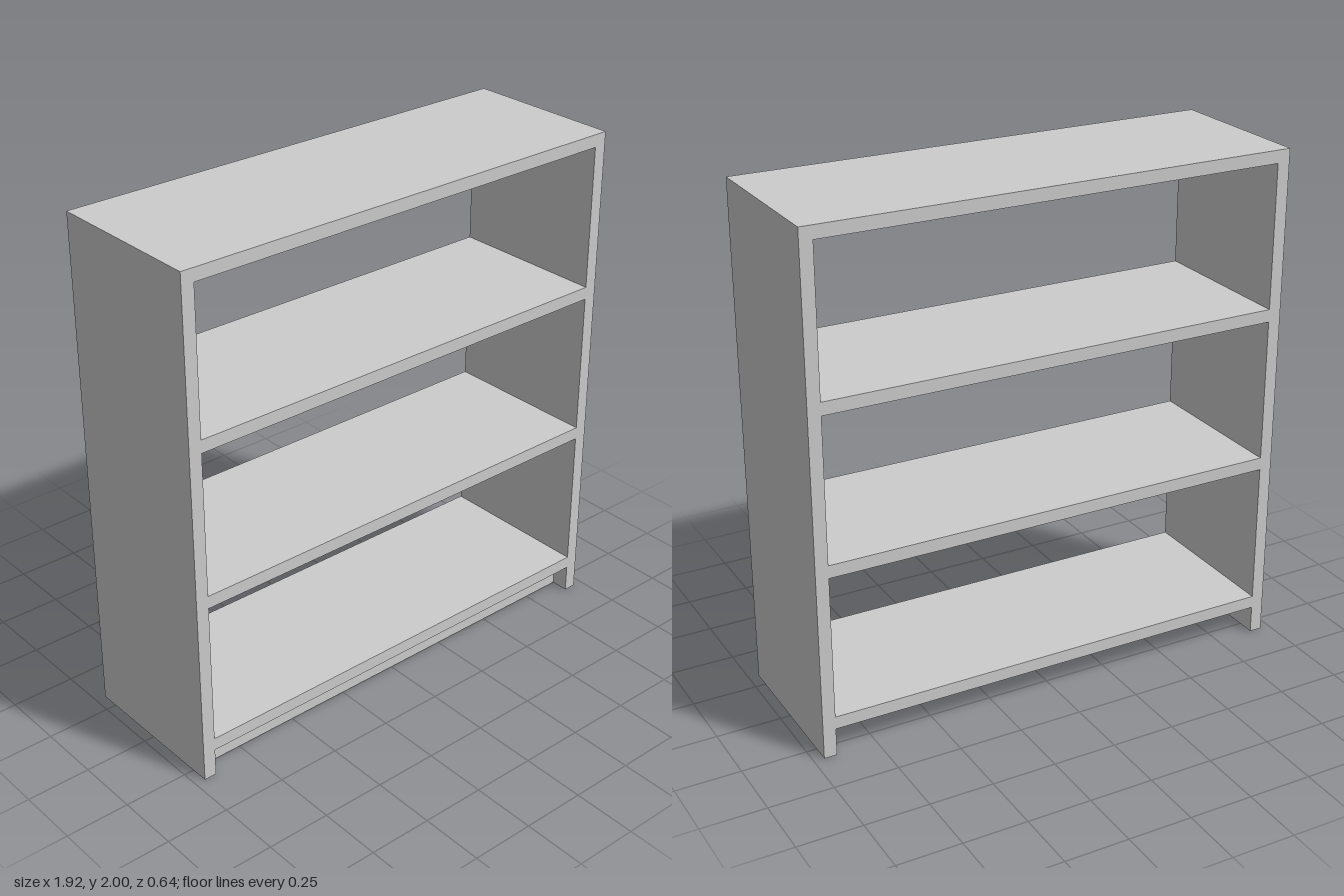
import * as THREE from 'three';

// Open-backed bookcase: two side panels, four shelves and a recessed kick board
export function createModel() {
  const group = new THREE.Group();
  group.name = 'bookcase';
  const paint = new THREE.MeshStandardMaterial({ color: 0xcccccc });
  paint.name = 'light grey';

  const board = 0.05, halfWidth = 0.96, depth = 0.64;
  const inner = 2 * (halfWidth - board);

  function addBoard(name, w, h, d, x, y, z) {
    const mesh = new THREE.Mesh(new THREE.BoxGeometry(w, h, d), paint);
    mesh.name = name;
    mesh.position.set(x, y, z);
    group.add(mesh);
  }

  // Full-height side panels
  for (const [name, s] of [['leftPanel', 1], ['rightPanel', -1]]) {
    addBoard(name, board, 2, depth, s * (halfWidth - board / 2), 1, 0);
  }

  // Evenly spaced shelves between the panels, the last one flush with the top
  const names = ['bottomShelf', 'lowerShelf', 'upperShelf', 'topShelf'];
  const first = 0.135, last = 2 - board / 2;
  names.forEach((name, i) => {
    addBoard(name, inner, board, depth, 0, first + (last - first) * i / 3, 0);
  });

  // Kick board set back under the bottom shelf
  addBoard('kickBoard', inner, 0.11, board, 0, 0.055, 0.225);

  return group;
}
